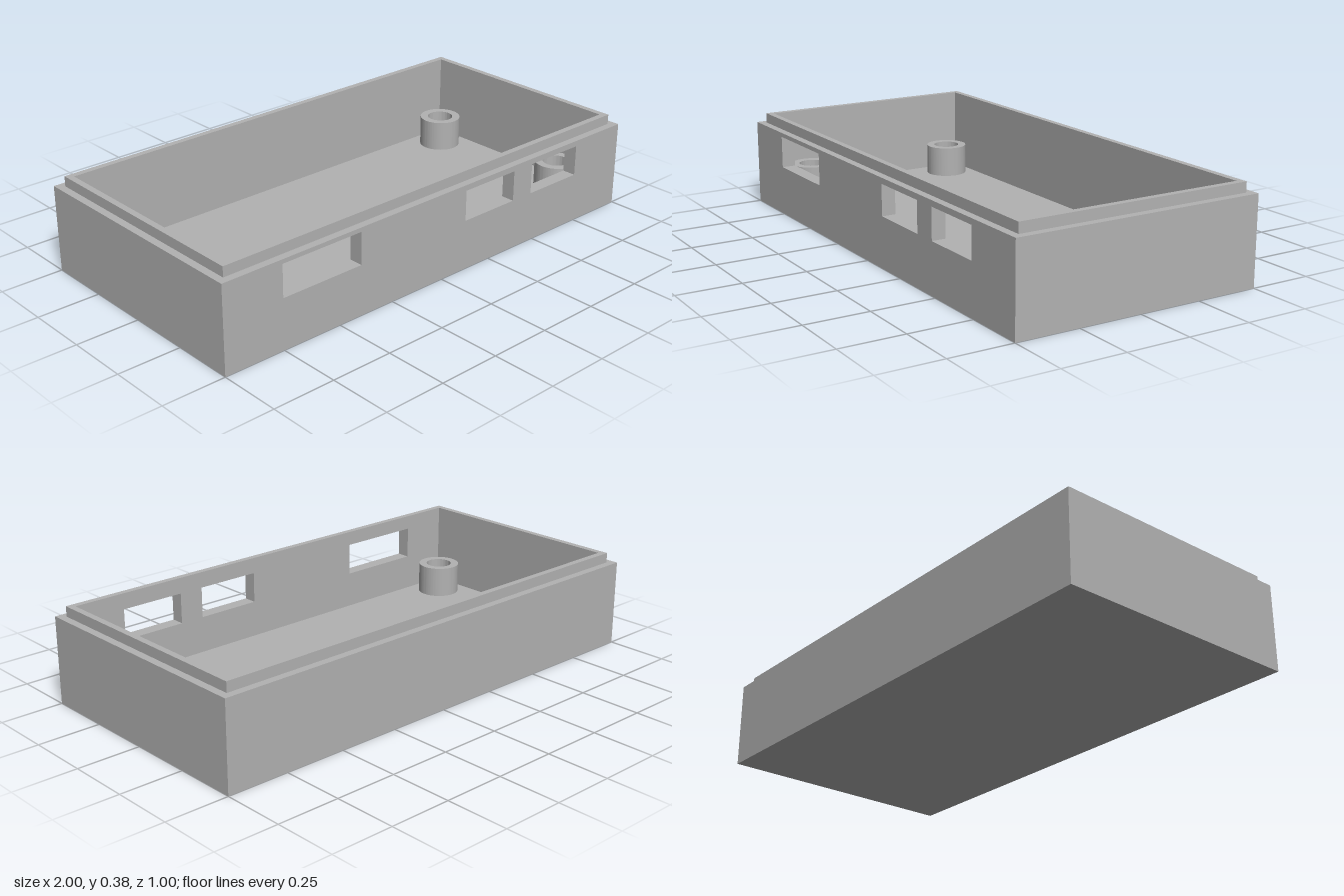
import * as THREE from 'three';
import { toCreasedNormals } from 'three/addons/utils/BufferGeometryUtils.js';

const W = 1, D = 0.5;          // half width and half depth of the shell
const T = 0.055;               // wall and floor thickness
const WALL_TOP = 0.345, LIP_TOP = 0.385, LIP_INSET = 0.03;
const POST_TOP = 0.18;

// Traces a rectangle on a Shape or Path
function rect(path, x0, y0, x1, y1) {
  path.moveTo(x0, y0);
  path.lineTo(x1, y0);
  path.lineTo(x1, y1);
  path.lineTo(x0, y1);
  path.closePath();
  return path;
}

function extrude(shape, depth) {
  return new THREE.ExtrudeGeometry(shape, { depth, bevelEnabled: false, curveSegments: 48 });
}

export function createModel() {
  const group = new THREE.Group();
  const plastic = new THREE.MeshStandardMaterial({ color: 0xb2b2b2 });
  plastic.name = 'grey plastic';

  function add(name, geometry, x = 0, y = 0, z = 0) {
    const mesh = new THREE.Mesh(geometry, plastic);
    mesh.name = name;
    mesh.position.set(x, y, z);
    group.add(mesh);
  }

  // Floor slab
  add('floor', new THREE.BoxGeometry(2 * W, T, 2 * D), 0, T / 2, 0);

  // Front wall with three connector openings
  const front = rect(new THREE.Shape(), -W, T, W, WALL_TOP);
  for (const [x0, x1, top] of [[-0.75, -0.4, 0.328], [0.12, 0.38, 0.322], [0.48, 0.74, 0.322]]) {
    front.holes.push(rect(new THREE.Path(), x0, 0.2, x1, top));
  }
  add('frontWall', extrude(front, T), 0, 0, D - T);

  // Plain back and side walls
  const h = WALL_TOP - T, midY = T + h / 2;
  add('backWall', new THREE.BoxGeometry(2 * W, h, T), 0, midY, -D + T / 2);
  for (const s of [-1, 1]) {
    add(s > 0 ? 'leftWall' : 'rightWall',
      new THREE.BoxGeometry(T, h, 2 * (D - T)), s * (W - T / 2), midY, 0);
  }

  // Thin stepped lip that locates the lid
  const lx = W - LIP_INSET, lz = D - LIP_INSET;
  const lip = rect(new THREE.Shape(), -lx, -lz, lx, lz);
  lip.holes.push(rect(new THREE.Path(), -W + T, -D + T, W - T, D - T));
  add('lip', extrude(lip, LIP_TOP - WALL_TOP).rotateX(-Math.PI / 2), 0, WALL_TOP, 0);

  // Hollow screw posts in the corners
  const ring = new THREE.Shape().absarc(0, 0, 0.085, 0, Math.PI * 2);
  ring.holes.push(new THREE.Path().absarc(0, 0, 0.053, 0, Math.PI * 2));
  const post = toCreasedNormals(extrude(ring, POST_TOP - T).rotateX(-Math.PI / 2), 0.6);
  for (const x of [-0.83, 0.83]) {
    for (const z of [-0.33, 0.33]) add('screwPost', post, x, T, z);
  }

  return group;
}
